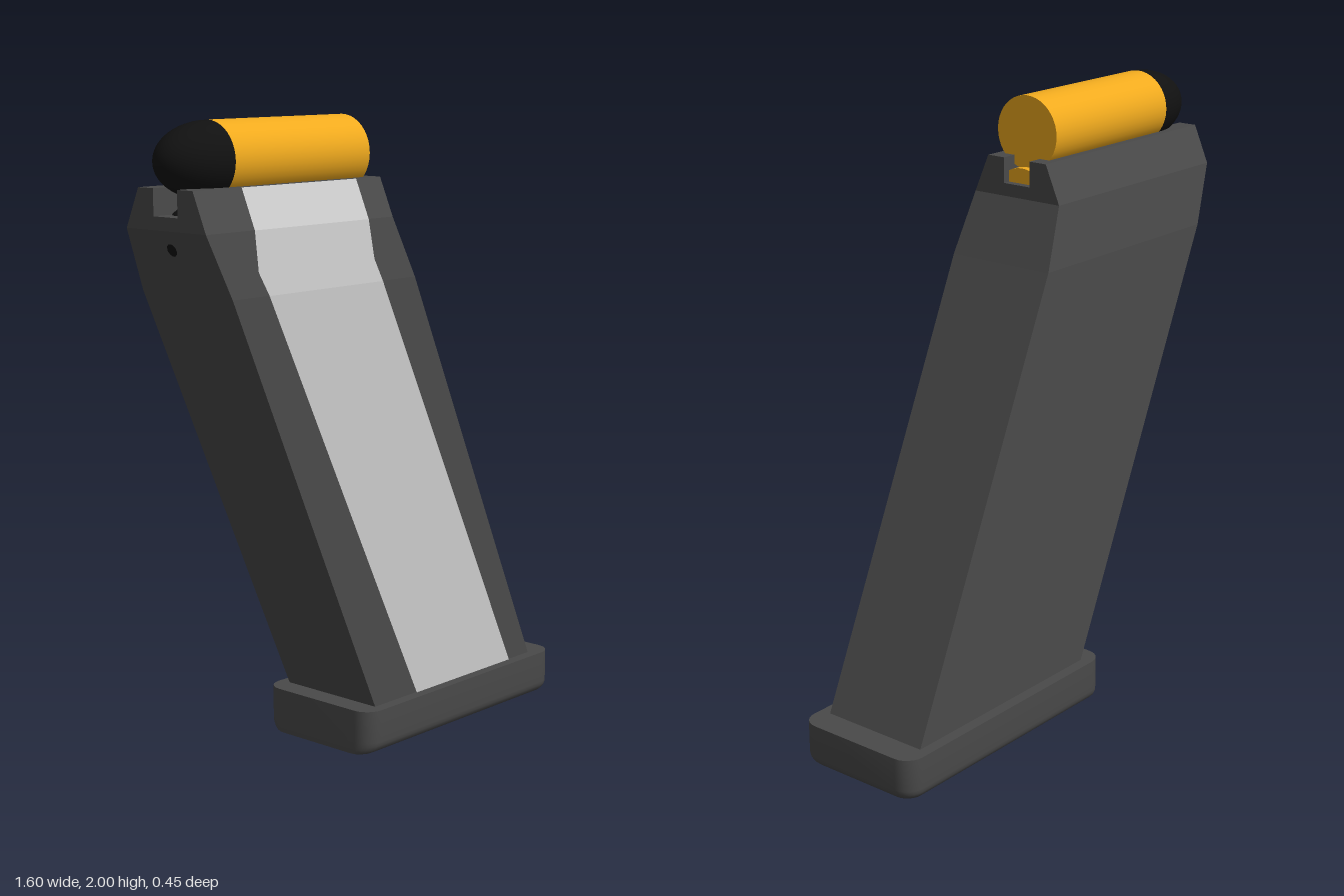
import * as THREE from 'three';
import { mergeGeometries, toCreasedNormals } from 'three/addons/utils/BufferGeometryUtils.js';

const mat = (color, extra = {}) => new THREE.MeshStandardMaterial({ color, ...extra });

function add(parent, name, geometry, material) {
  const mesh = new THREE.Mesh(geometry, material);
  mesh.name = name;
  parent.add(mesh);
  return mesh;
}

// Left edge of the leaning body at each level: [y, x, half depth]
const LEVELS = [[0.13, -0.08, 0.188], [1.5, -0.70, 0.188], [1.69, -0.78, 0.165], [1.81, -0.78, 0.113]];
const BODY_LENGTH = 0.795;

// Linear interpolation of one column of LEVELS at height y
function atHeight(y, column) {
  let i = 0;
  while (i < LEVELS.length - 2 && y > LEVELS[i + 1][0]) i++;
  const a = LEVELS[i], b = LEVELS[i + 1];
  return THREE.MathUtils.lerp(a[column], b[column], (y - a[0]) / (b[0] - a[0]));
}

// Extrude each z-y section along x, then shear it to follow the lean
function bodyGeometry() {
  const slot = [[0.05, 1.81], [0.05, 1.73], [-0.05, 1.73], [-0.05, 1.81]];
  const pieces = [];
  for (let i = 0; i < LEVELS.length - 1; i++) {
    const [y0, , d0] = LEVELS[i], [y1, , d1] = LEVELS[i + 1];
    const points = [[-d0, y0], [d0, y0], [d1, y1], ...(i === 2 ? slot : []), [-d1, y1]];
    const shape = new THREE.Shape(points.map(p => new THREE.Vector2(...p)));
    const geo = new THREE.ExtrudeGeometry(shape, { depth: BODY_LENGTH, bevelEnabled: false });
    geo.rotateY(Math.PI / 2);
    const pos = geo.attributes.position;
    for (let k = 0; k < pos.count; k++) pos.setX(k, pos.getX(k) + atHeight(pos.getY(k), 1));
    geo.computeVertexNormals();
    pieces.push(geo);
  }
  return mergeGeometries(pieces);
}

// Thin strip that follows the folds of the +z side: rows of [y, left x, right x]
function panelGeometry() {
  const rows = [[1.81, -0.59, -0.10], [1.69, -0.59, -0.10], [1.57, -0.59, -0.09], [1.5, -0.555, -0.06], [0.14, 0.115, 0.60]];
  const geo = new THREE.PlaneGeometry(1, 1, 1, rows.length - 1);
  rows.forEach(([y, left, right], i) => {
    const z = atHeight(y, 2) + 0.004;
    geo.attributes.position.setXYZ(i * 2, left, y, z);
    geo.attributes.position.setXYZ(i * 2 + 1, right, y, z);
  });
  geo.computeVertexNormals();
  return geo;
}

// Horizontal rounded rectangle, rounded off towards the bottom except at the -x end
function baseRing(y, inset) {
  const x0 = -0.16, x1 = 0.80 - inset, hz = 0.225 - inset, r = 0.06 - inset * 0.6, steps = 6;
  const corners = [[x1 - r, hz - r], [x0 + r, hz - r], [x0 + r, r - hz], [x1 - r, r - hz]];
  const ring = [];
  corners.forEach(([cx, cz], q) => {
    for (let s = 0; s <= steps; s++) {
      const a = (q + s / steps) * Math.PI / 2;
      ring.push([cx + r * Math.cos(a), y, cz + r * Math.sin(a)]);
    }
  });
  return ring;
}

function baseGeometry() {
  const round = 0.04, top = 0.145;
  const rings = [baseRing(top, 0)];
  for (let i = 0; i <= 5; i++) {
    const a = i / 5 * Math.PI / 2;
    rings.push(baseRing(round * (1 - Math.sin(a)), round * (1 - Math.cos(a))));
  }
  const n = rings[0].length;
  const verts = rings.flat(2);
  const index = [];
  for (let r = 0; r < rings.length - 1; r++) {
    for (let i = 0; i < n; i++) {
      const j = (i + 1) % n, a = r * n + i, b = r * n + j;
      index.push(a, b, a + n, b, b + n, a + n);
    }
  }
  // Flat caps
  const topCentre = verts.length / 3, last = (rings.length - 1) * n;
  verts.push(0.32, top, 0, 0.32, 0, 0);
  for (let i = 0; i < n; i++) {
    const j = (i + 1) % n;
    index.push(topCentre, j, i, topCentre + 1, last + i, last + j);
  }
  const geo = new THREE.BufferGeometry();
  geo.setAttribute('position', new THREE.Float32BufferAttribute(verts, 3));
  geo.setIndex(index);
  return toCreasedNormals(geo, 0.6);
}

// Round case with a half-ellipsoid nose pointing to -x; origin at the flat end
function cartridge(name, caseMaterial, noseMaterial, noseLength) {
  const group = new THREE.Group();
  group.name = name;
  const radius = 0.115, length = 0.575;
  const body = new THREE.CylinderGeometry(radius, radius, length, 40);
  body.rotateZ(Math.PI / 2).translate(-length / 2, 0, 0);
  add(group, 'case', body, caseMaterial);
  const nose = new THREE.SphereGeometry(radius, 40, 14, 0, Math.PI * 2, 0, Math.PI / 2);
  nose.scale(1, noseLength / radius, 1).rotateZ(Math.PI / 2).translate(-length, 0, 0);
  add(group, 'nose', nose, noseMaterial);
  return group;
}

export function createModel() {
  const model = new THREE.Group();
  model.name = 'magazine';
  const dark = mat(0x4a4a4a), brass = mat(0xf0aa1e), black = mat(0x111111);

  add(model, 'body', bodyGeometry(), mat(0x4a4a4a, { flatShading: true }));
  add(model, 'sidePanel', panelGeometry(), mat(0xcccccc, { flatShading: true, side: THREE.DoubleSide }));
  add(model, 'basePlate', baseGeometry(), dark);

  // One round on top, the next one showing in the slot
  const upper = cartridge('topRound', brass, black, 0.19);
  upper.position.set(-0.035, 1.885, 0);
  const lower = cartridge('nextRound', brass, black, 0.18);
  lower.position.set(-0.01, 1.663, 0);
  model.add(upper, lower);
  return model;
}
